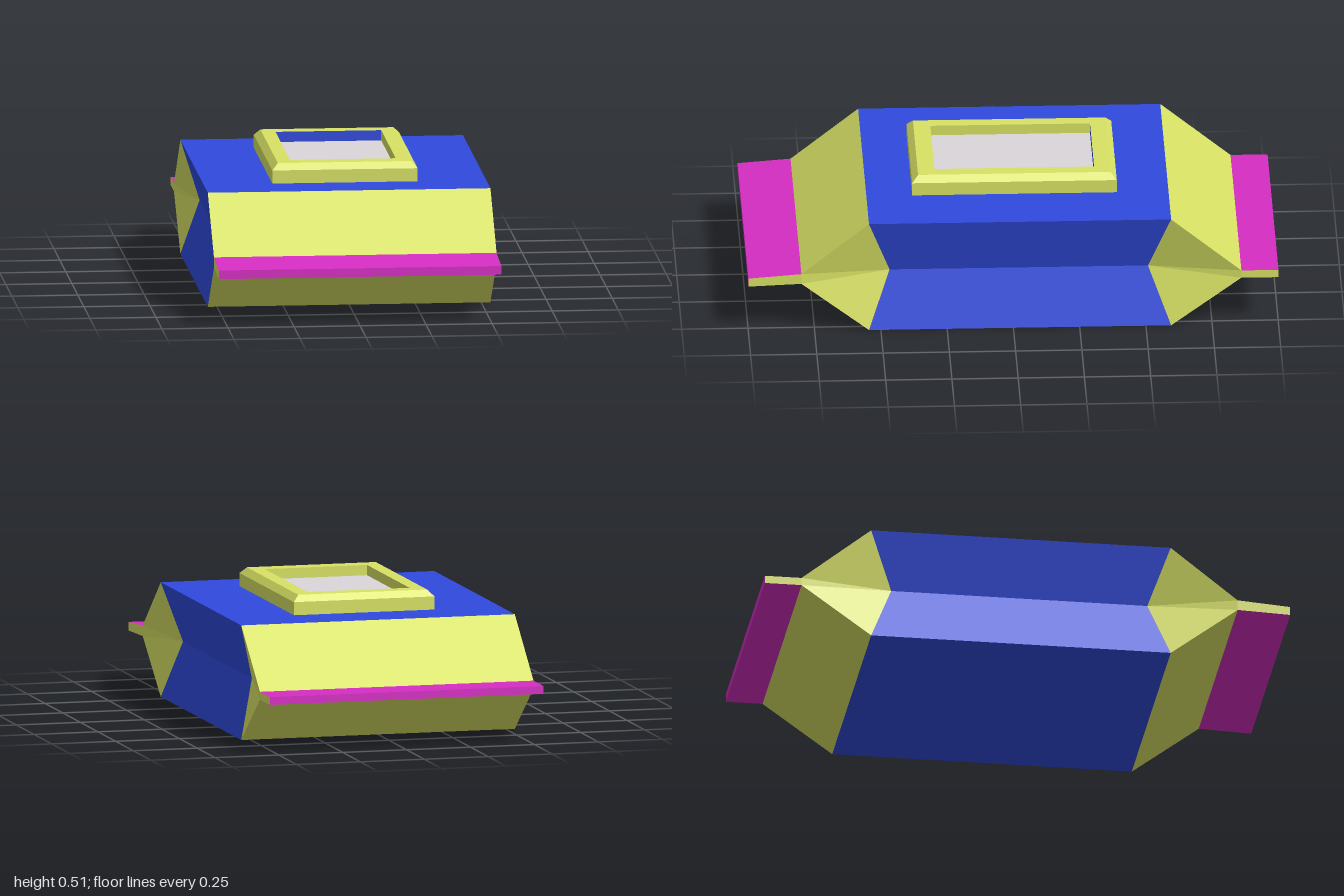
import * as THREE from 'three';

const material = (name, color) => {
  const m = new THREE.MeshStandardMaterial({ color, flatShading: true });
  m.name = name;
  return m;
};

// Mesh from convex polygons, each fanned into triangles
function panelMesh(name, mat, faces) {
  const pos = [];
  for (const f of faces)
    for (let i = 1; i < f.length - 1; i++) pos.push(...f[0], ...f[i], ...f[i + 1]);
  const geo = new THREE.BufferGeometry();
  geo.setAttribute('position', new THREE.Float32BufferAttribute(pos, 3));
  geo.computeVertexNormals();
  const mesh = new THREE.Mesh(geo, mat);
  mesh.name = name;
  return mesh;
}

export function createModel() {
  const blue = material('blue wrapper', 0x304add);
  const yellow = material('yellow trim', 0xd8e264);
  const magenta = material('magenta seal', 0xd62ec4);
  const grey = material('grey tissue', 0xdad6da);

  const group = new THREE.Group();
  group.name = 'softPack';

  const W = 0.535, H = 0.437, MID = 0.22, FOLD = 0.065;
  const ends = [
    { name: 'front', s: 1, crease: 0.465, shoulder: 0.545, neck: 0.8, tip: 1, neckY: [0.235, 0.195], tipY: [0.22, 0.187] },
    { name: 'back', s: -1, crease: 0.51, shoulder: 0.595, neck: 0.86, tip: 1, neckY: [0.222, 0.192], tipY: [0.222, 0.192] },
  ];

  // Body: flat top and bottom, sides folded inward along the middle
  const zf = ends[0].shoulder, zb = -ends[1].shoulder;
  const cf = ends[0].crease, cb = -ends[1].crease;
  const body = [
    [[-W, H, zf], [W, H, zf], [W, H, zb], [-W, H, zb]],
    [[-W, 0, zb], [W, 0, zb], [W, 0, zf], [-W, 0, zf]],
  ];
  for (const k of [1, -1]) {
    const w = k * W, c = k * (W - FOLD);
    const sides = [
      [[w, H, zf], [c, MID, cf], [c, MID, cb], [w, H, zb]],
      [[c, MID, cf], [w, 0, zf], [w, 0, zb], [c, MID, cb]],
    ];
    body.push(...sides.map(f => (k < 0 ? f.reverse() : f)));
  }
  group.add(panelMesh('body', blue, body));

  // Ends: sloped panels, folded gussets and a flat seal
  for (const e of ends) {
    const zs = e.s * e.shoulder, zc = e.s * e.crease, zn = e.s * e.neck, zt = e.s * e.tip;
    const [nt, nb] = e.neckY, [tt, tb] = e.tipY;
    const orient = (faces, dir) => faces.map(f => (dir < 0 ? f.reverse() : f));

    const slopes = orient([
      [[-W, H, zs], [-W, nt, zn], [W, nt, zn], [W, H, zs]],
      [[-W, 0, zs], [W, 0, zs], [W, nb, zn], [-W, nb, zn]],
    ], e.s);
    const seal = orient([
      [[-W, nt, zn], [-W, tt, zt], [W, tt, zt], [W, nt, zn]],
      [[-W, nb, zn], [W, nb, zn], [W, tb, zt], [-W, tb, zt]],
      [[-W, tt, zt], [-W, tb, zt], [W, tb, zt], [W, tt, zt]],
    ], e.s);
    const gussets = [];
    for (const k of [1, -1]) {
      const w = k * W;
      const C = [k * (W - FOLD), MID, zc], N = [w, nt, zn], B = [w, nb, zn];
      gussets.push(...orient([
        [[w, H, zs], N, C],
        [[w, 0, zs], C, B],
        [C, N, B],
        [N, [w, tt, zt], [w, tb, zt], B],
      ], k * e.s));
    }
    group.add(
      panelMesh(e.name + 'Slopes', yellow, slopes),
      panelMesh(e.name + 'Seal', magenta, seal),
      panelMesh(e.name + 'Gussets', yellow, gussets),
    );
  }

  // Opening frame: rectangular loops from outer base, over the bevel, into the opening
  const loop = (x, z0, z1, y) => [[-x, y, z1], [x, y, z1], [x, y, z0], [-x, y, z0]];
  const loops = [
    loop(0.275, -0.4, 0.372, H),
    loop(0.275, -0.4, 0.372, 0.487),
    loop(0.252, -0.377, 0.349, 0.511),
    loop(0.2, -0.317, 0.285, 0.511),
    loop(0.2, -0.317, 0.285, 0.472),
  ];
  const frame = [], lip = [];
  for (let i = 0; i < loops.length - 1; i++)
    for (let k = 0; k < 4; k++) {
      const a = loops[i], b = loops[i + 1], n = (k + 1) % 4;
      (i === 3 && k === 2 ? lip : frame).push([a[k], a[n], b[n], b[k]]);
    }
  group.add(
    panelMesh('openingFrame', yellow, frame),
    panelMesh('openingBackLip', blue, lip),
    panelMesh('tissue', grey, [loops[4]]),
  );
  return group;
}
